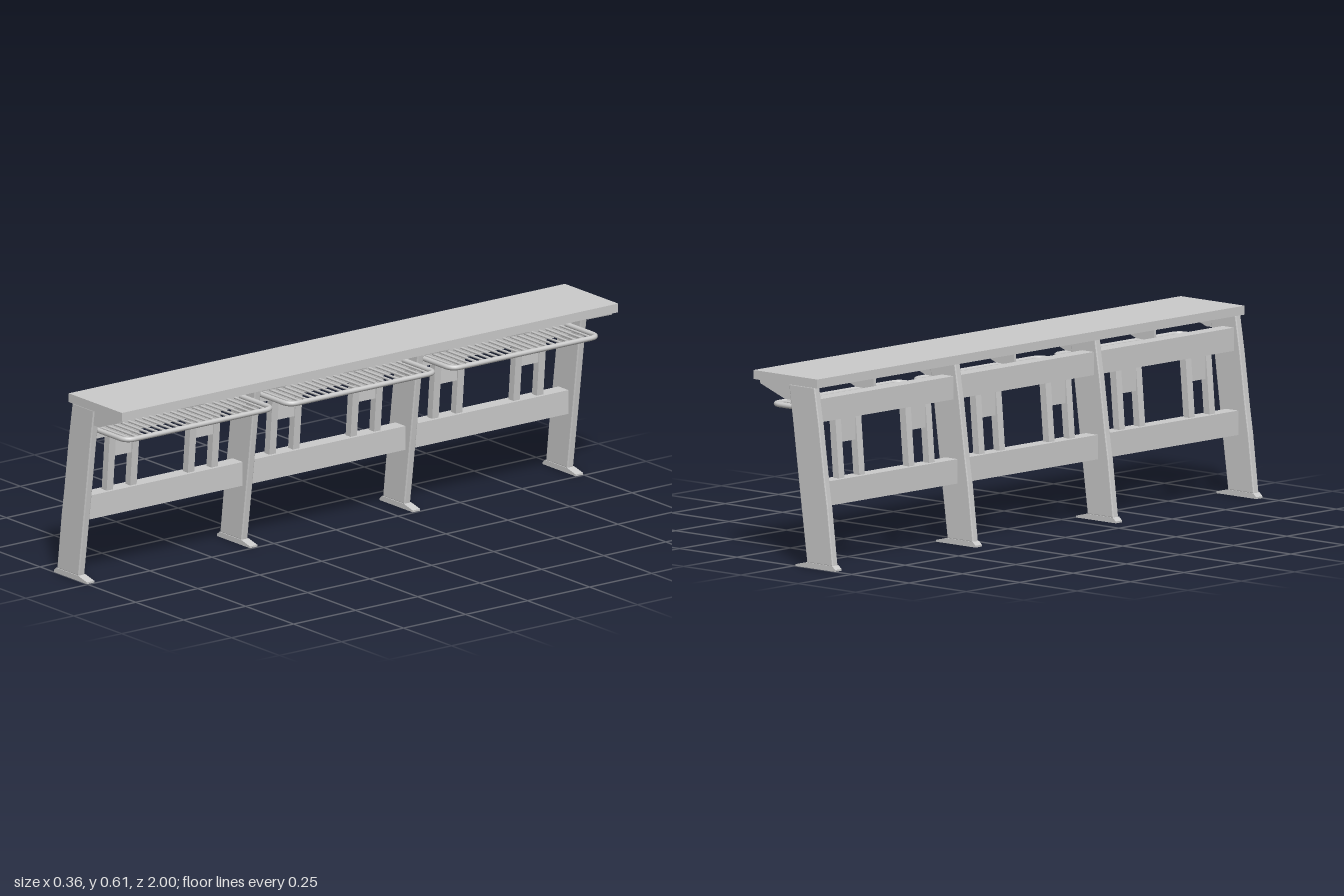
import * as THREE from 'three';

const material = new THREE.MeshStandardMaterial({ color: 0xcccccc });
const LEG_Z = [-0.985, -0.328, 0.328, 0.985];
const BAY_Z = [-0.656, 0, 0.656];

function add(parent, name, geometry, x = 0, y = 0, z = 0) {
  const mesh = new THREE.Mesh(geometry, material);
  mesh.name = name;
  mesh.position.set(x, y, z);
  parent.add(mesh);
  return mesh;
}

// box given by its x and y limits
function slab(parent, name, x0, x1, y0, y1, depth, z = 0) {
  return add(parent, name, new THREE.BoxGeometry(x1 - x0, y1 - y0, depth), (x0 + x1) / 2, (y0 + y1) / 2, z);
}

// side profile extruded along z and centred on z = 0
function profile(points, width, bevel = 0) {
  const shape = new THREE.Shape(points.map(([x, y]) => new THREE.Vector2(x, y)));
  const geometry = new THREE.ExtrudeGeometry(shape, {
    depth: width - 2 * bevel, bevelEnabled: bevel > 0, bevelSize: bevel,
    bevelThickness: bevel, bevelOffset: -bevel, bevelSegments: 3,
  });
  return geometry.translate(0, 0, -width / 2 + bevel);
}

// rod between two points
function rod(parent, name, a, b, radius) {
  return add(parent, name, new THREE.TubeGeometry(new THREE.LineCurve3(a, b), 1, radius, 8));
}

// bent tube with slats, fixed to the front of the upper rail
function createRack() {
  const rack = new THREE.Group();
  rack.name = 'rack';
  const y = 0.503, back = -0.035, front = 0.14, half = 0.296, r = 0.035;
  const v = (x, z) => new THREE.Vector3(x, y, z);
  const path = new THREE.CurvePath();
  path.add(new THREE.LineCurve3(v(back, -half), v(front - r, -half)));
  path.add(new THREE.QuadraticBezierCurve3(v(front - r, -half), v(front, -half), v(front, -half + r)));
  path.add(new THREE.LineCurve3(v(front, -half + r), v(front, half - r)));
  path.add(new THREE.QuadraticBezierCurve3(v(front, half - r), v(front, half), v(front - r, half)));
  path.add(new THREE.LineCurve3(v(front - r, half), v(back, half)));
  add(rack, 'rackFrame', new THREE.TubeGeometry(path, 120, 0.0085, 10));
  const count = 20;
  for (let i = 0; i < count; i++) {
    const z = (i - (count - 1) / 2) * 0.0285;
    rod(rack, 'rackSlat', v(back, z), v(front, z), 0.004);
  }
  return rack;
}

export function createModel() {
  const model = new THREE.Group();
  model.name = 'benchTable';

  slab(model, 'tableTop', -0.1, 0.178, 0.584, 0.613, 2);

  // leaning legs with feet
  const legShape = profile([
    [-0.165, 0.015], [-0.052, 0.015], [-0.016, 0.275], [0.008, 0.455], [0.027, 0.585],
    [-0.085, 0.585], [-0.105, 0.465], [-0.13, 0.28], [-0.142, 0.205],
  ], 0.025, 0.004);
  const footShape = profile([
    [-0.178, 0], [-0.005, 0], [-0.005, 0.006], [-0.05, 0.017], [-0.165, 0.017], [-0.178, 0.006],
  ], 0.03);
  const bracketPoints = [[-0.03, 0.533], [0.047, 0.533], [0.155, 0.572], [0.158, 0.585], [-0.03, 0.585]];
  const legBracket = profile(bracketPoints, 0.015);
  for (const z of LEG_Z) {
    add(model, 'leg', legShape, 0, 0, z);
    add(model, 'foot', footShape, 0, 0, z);
    add(model, 'legBracket', legBracket, 0, 0, z);
  }

  // leaning post joining the rails
  const postShape = profile([[-0.084, 0.27], [-0.058, 0.27], [-0.04, 0.48], [-0.066, 0.48]], 0.026);
  const midBracket = profile(bracketPoints, 0.01);
  for (const bayZ of BAY_Z) {
    const bay = new THREE.Group();
    bay.name = 'bay';
    bay.position.z = bayZ;
    model.add(bay);

    slab(bay, 'lowerRail', -0.098, -0.046, 0.198, 0.277, 0.636);
    slab(bay, 'upperRail', -0.08, -0.03, 0.468, 0.543, 0.636);
    add(bay, 'middleBracket', midBracket);
    bay.add(createRack());

    // paired posts with a plate between each pair
    for (const side of [-1, 1]) {
      for (const z of [0.116, 0.211]) add(bay, 'post', postShape, 0, 0, side * z);
      slab(bay, 'postPlate', -0.066, -0.05, 0.39, 0.475, 0.075, side * 0.1635);
    }
  }
  return model;
}
